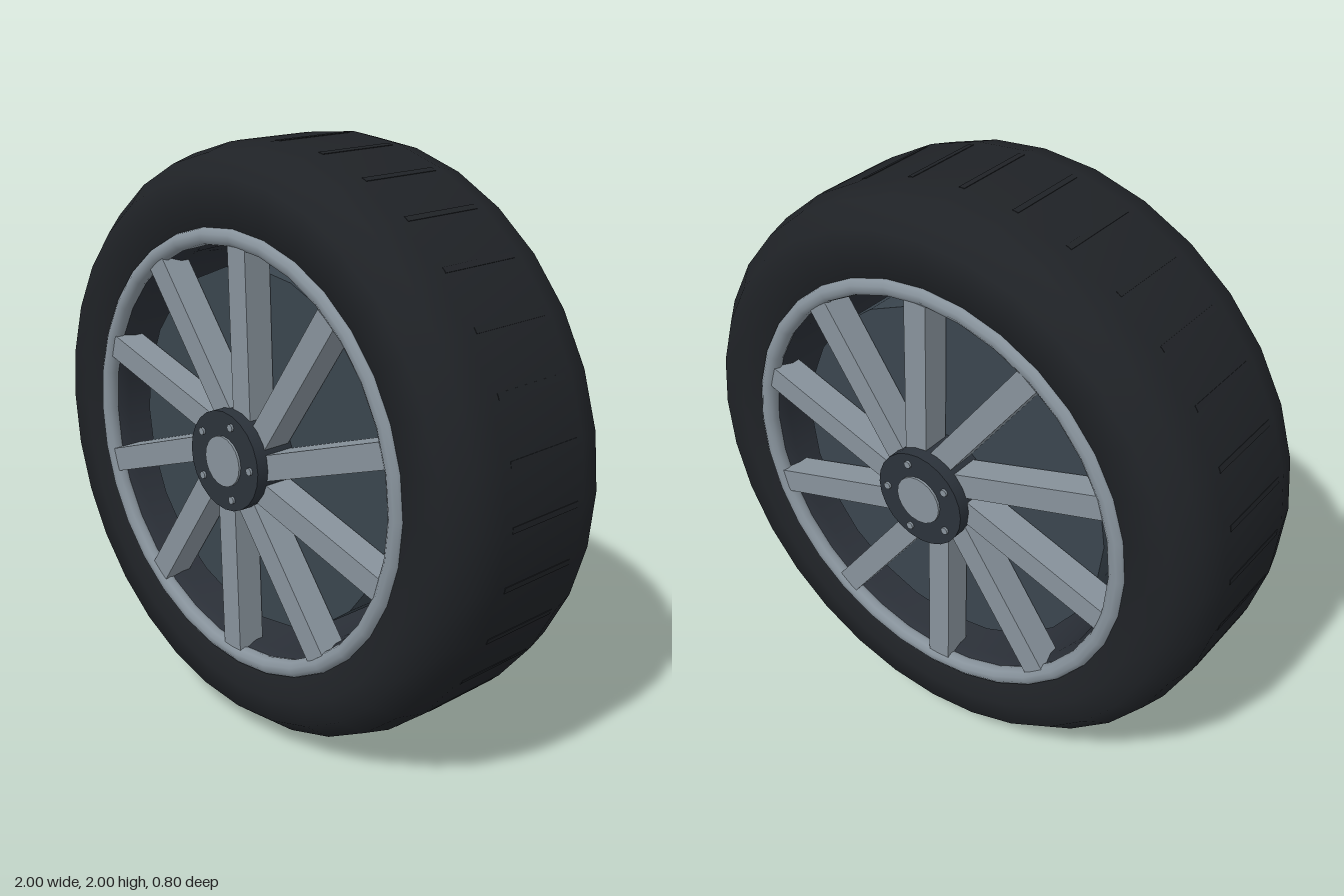
import * as THREE from 'three';

const mat = (color, extra = {}) => new THREE.MeshStandardMaterial({ color, ...extra });

export function createModel() {
  const rubber = mat(0x1f2226);
  const darkMetal = mat(0x2b323a);
  const discMetal = mat(0x3a454e);
  const alloy = mat(0x87929b);
  const barrelMetal = mat(0x2b3038, { side: THREE.DoubleSide });

  const wheel = new THREE.Group();
  wheel.name = 'wheel';
  wheel.position.y = 1;

  function add(parent, name, geometry, material, x = 0, y = 0, z = 0) {
    const mesh = new THREE.Mesh(geometry, material);
    mesh.name = name;
    mesh.position.set(x, y, z);
    parent.add(mesh);
    return mesh;
  }
  // Cylinder and lathe with the axis along z
  const disc = (r, depth, sides) => new THREE.CylinderGeometry(r, r, depth, sides).rotateX(Math.PI / 2);
  const turned = (half, sides) => {
    const back = half.map(([r, z]) => new THREE.Vector2(r, -z));
    const front = half.map(([r, z]) => new THREE.Vector2(r, z)).reverse();
    return new THREE.LatheGeometry([...back, ...front], sides).rotateX(Math.PI / 2);
  };

  // Tyre with rounded shoulders and sidewalls that turn in at the rim
  add(wheel, 'tyre', turned([[0.7, 0.3], [0.75, 0.34], [0.83, 0.355], [0.91, 0.355], [0.975, 0.275], [1, 0.18]], 32), rubber);

  // Tread bars across the crown
  for (let i = 0; i < 32; i++) {
    const a = (i / 32) * Math.PI * 2;
    const bar = add(wheel, 'treadBar', new THREE.BoxGeometry(0.02, 0.02, 0.3), rubber,
      Math.sin(a) * 0.991, Math.cos(a) * 0.991);
    bar.rotation.z = -a;
  }

  // Inside of the rim and brake disc
  add(wheel, 'rimBarrel', turned([[0.7, 0.33], [0.68, 0.28]], 32), barrelMetal);
  add(wheel, 'brakeDisc', disc(0.61, 0.48, 24), discMetal);

  // Matching outer faces, the rear one mirrored
  for (const s of [1, -1]) {
    const face = new THREE.Group();
    face.name = s > 0 ? 'frontFace' : 'rearFace';
    wheel.add(face);

    add(face, 'rimRing', new THREE.TorusGeometry(0.72, 0.03, 10, 32), alloy, 0, 0, s * 0.33);

    // Ten spokes set slightly off the radius
    for (let i = 0; i < 10; i++) {
      const arm = new THREE.Group();
      arm.name = 'spokeArm';
      arm.rotation.z = THREE.MathUtils.degToRad(19.5 + 36 * i);
      face.add(arm);
      add(arm, 'spoke', new THREE.BoxGeometry(0.59, 0.083, 0.1), alloy, 0.4, -0.046, s * 0.3);
    }

    // Hub, centre cap and five bolts
    add(face, 'hub', disc(0.168, 0.16, 24), darkMetal, 0, 0, s * 0.312);
    add(face, 'centreCap', disc(0.085, 0.04, 20), alloy, 0, 0, s * 0.38);
    for (let i = 0; i < 5; i++) {
      const a = (i / 5) * Math.PI * 2;
      add(face, 'bolt', disc(0.013, 0.03, 8), alloy, Math.cos(a) * 0.13, Math.sin(a) * 0.13, s * 0.385);
    }
  }

  const model = new THREE.Group();
  model.name = 'model';
  model.add(wheel);
  return model;
}
